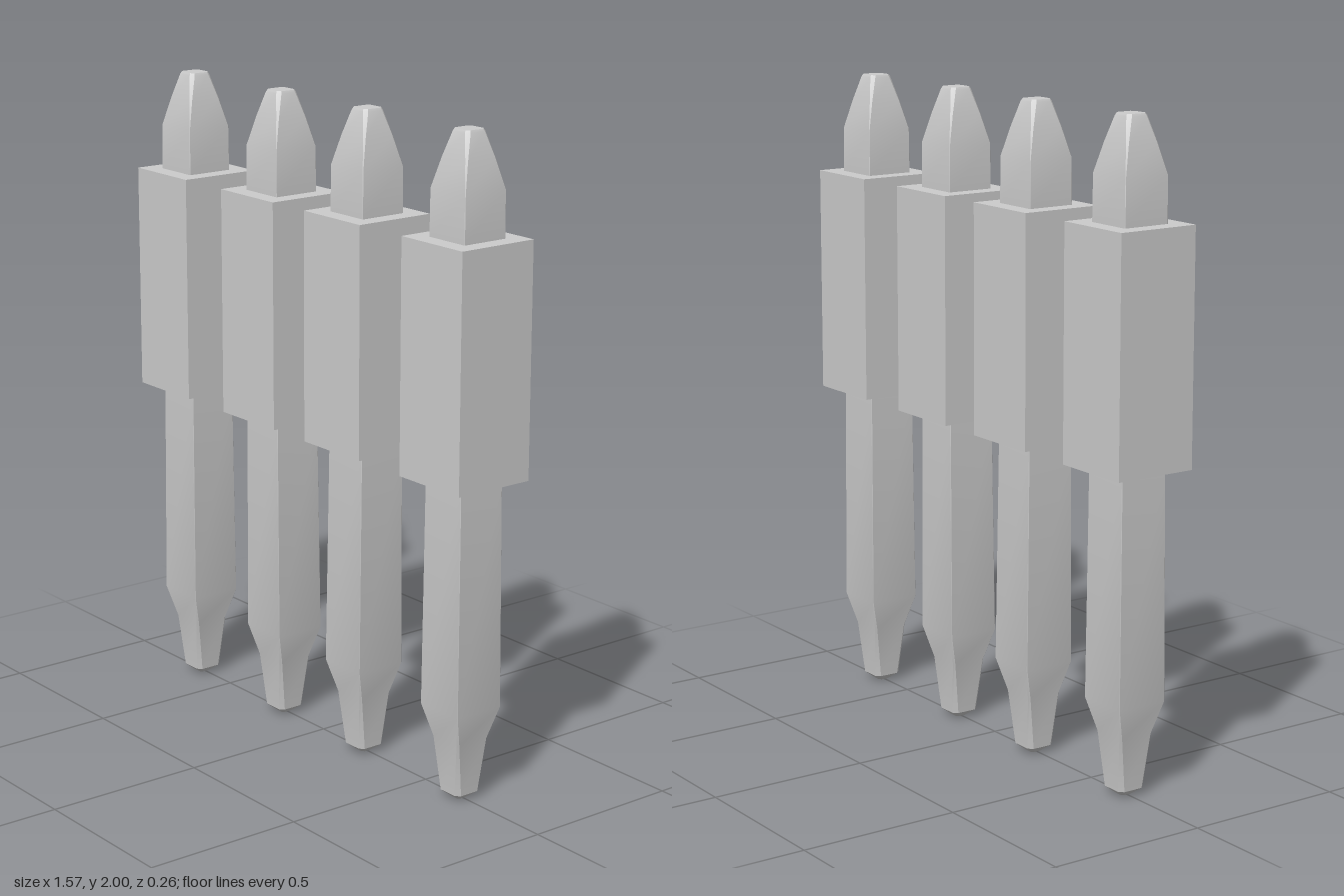
import * as THREE from 'three';
import { toCreasedNormals } from 'three/addons/utils/BufferGeometryUtils.js';

// Pin profile: [height, half width, corner chamfer as a fraction of half width]
const PROFILE = [
  [0, 0.018, 0.4], [0.022, 0.045, 0.3], [0.19, 0.058, 0.1], [0.29, 0.083, 0.02],
  [0.985, 0.078, 0.02], [1.69, 0.076, 0.02], [1.83, 0.075, 0.02],
  [1.92, 0.055, 0.1], [1.993, 0.037, 0.3], [2, 0.033, 0.3],
];

// Square pin with softened, tapered ends; lean flares the foot sideways
function pinGeometry(lean) {
  const pos = [], index = [], n = 8;
  for (const [y, w, f] of PROFILE) {
    const k = w * (1 - f);
    const ring = [[w, -k], [w, k], [k, w], [-k, w], [-w, k], [-w, -k], [-k, -w], [k, -w]];
    const dx = lean * Math.max(0, 1 - Math.abs(y - 0.29) / 0.7);
    for (const [x, z] of ring) pos.push(x + dx, y, z);
  }
  const rows = PROFILE.length;
  for (let r = 0; r < rows - 1; r++) {
    for (let i = 0; i < n; i++) {
      const a = r * n + i, b = r * n + (i + 1) % n;
      index.push(a, a + n, b, b, a + n, b + n);
    }
  }
  // End caps
  const top = (rows - 1) * n;
  for (let i = 1; i < n - 1; i++) {
    index.push(0, i, i + 1);
    index.push(top, top + i + 1, top + i);
  }
  const geo = new THREE.BufferGeometry();
  geo.setAttribute('position', new THREE.Float32BufferAttribute(pos, 3));
  geo.setIndex(index);
  return toCreasedNormals(geo, THREE.MathUtils.degToRad(35));
}

export function createModel() {
  const model = new THREE.Group();
  model.name = 'pinRow';
  const material = new THREE.MeshStandardMaterial({ color: 0xcccccc });
  const blockGeometry = new THREE.BoxGeometry(0.262, 0.705, 0.262);

  // Four pins, each through its own block: [x, lean]
  [[-0.657, 0], [-0.209, 0.006], [0.205, -0.006], [0.654, 0]].forEach(([x, lean], i) => {
    const unit = new THREE.Group();
    unit.name = `pinUnit${i + 1}`;
    unit.position.x = x;

    const pin = new THREE.Mesh(pinGeometry(lean), material);
    pin.name = 'pin';
    const block = new THREE.Mesh(blockGeometry, material);
    block.name = 'block';
    block.position.y = 1.338;

    unit.add(pin, block);
    model.add(unit);
  });
  return model;
}
